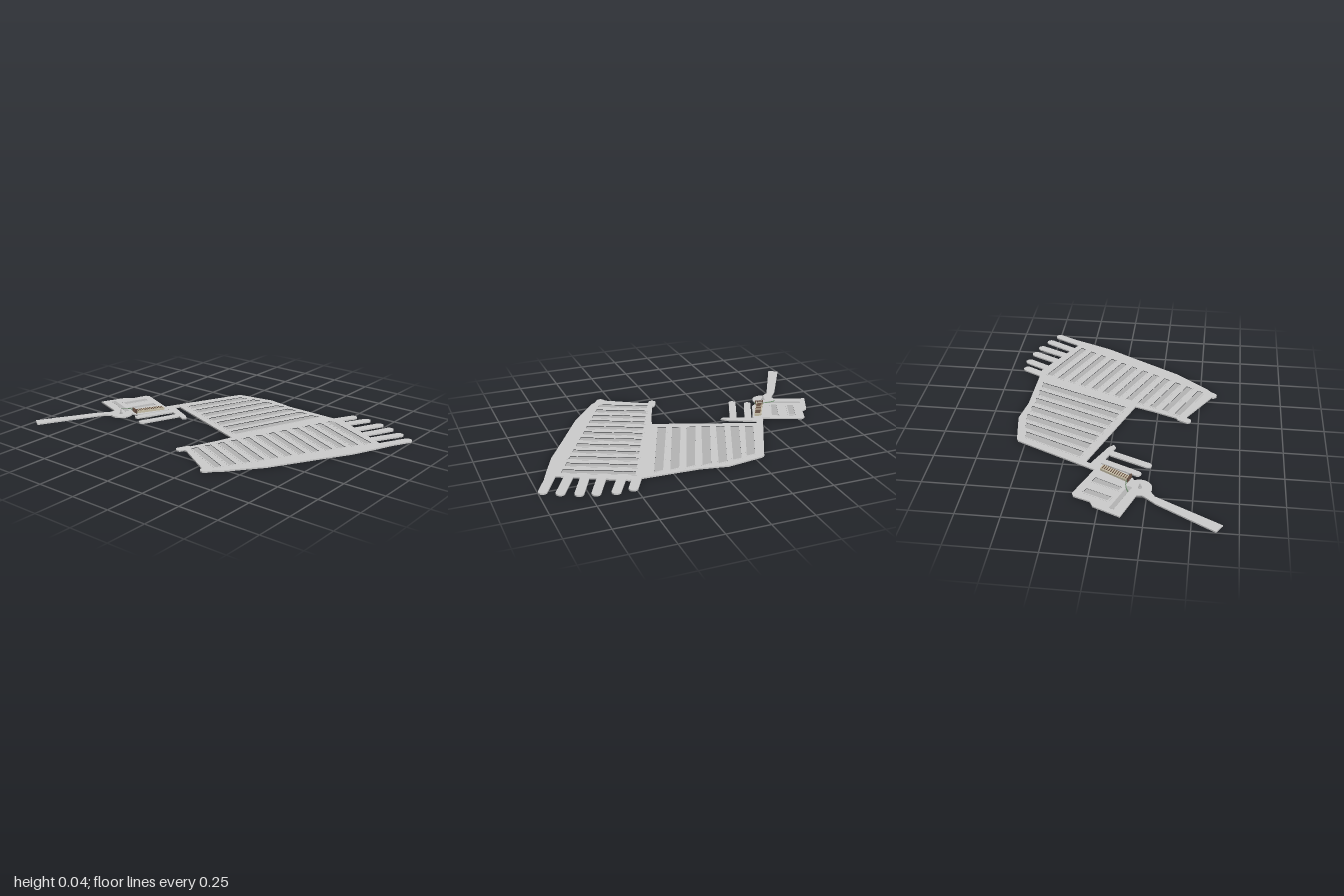
import * as THREE from 'three';

const material = (color) => new THREE.MeshStandardMaterial({ color, flatShading: true });
const GREY = material(0xcccccc), DARK = material(0xb4b4b4), PALE = material(0xdadada);
const BEIGE = material(0xc8c0a8), BROWN = material(0x6b5446), GREEN = material(0x6f8f6f);
const TOP = 0.009; // deck height

const vectors = (points) => points.map(([x, z]) => new THREE.Vector2(x, -z));
const lerp = (a, b, t) => [a[0] + (b[0] - a[0]) * t, a[1] + (b[1] - a[1]) * t];

// Flat slab from a plan outline of [x, z] points
function slab(parent, name, outline, y0, y1, mat, holes = []) {
  const shape = outline instanceof THREE.Shape ? outline : new THREE.Shape(vectors(outline));
  for (const h of holes) shape.holes.push(new THREE.Path(vectors(h)));
  const geo = new THREE.ExtrudeGeometry(shape, { depth: y1 - y0, bevelEnabled: false, curveSegments: 8 });
  geo.rotateX(-Math.PI / 2).translate(0, y0, 0);
  const mesh = new THREE.Mesh(geo, mat);
  mesh.name = name;
  parent.add(mesh);
  return mesh;
}

// Round-ended finger between two plan points
function finger(parent, name, a, b, r) {
  const ang = Math.atan2(-(b[1] - a[1]), b[0] - a[0]);
  const s = new THREE.Shape();
  s.absarc(b[0], -b[1], r, ang - Math.PI / 2, ang + Math.PI / 2);
  s.absarc(a[0], -a[1], r, ang + Math.PI / 2, ang + Math.PI * 1.5);
  return slab(parent, name, s, 0, TOP, GREY);
}

// Shrink a four-sided outline by sliding each corner along its two edges
function inset(quad, w) {
  return quad.map((p, i) => {
    const out = [...p];
    for (const q of [quad[(i + 1) % 4], quad[(i + 3) % 4]]) {
      const d = Math.hypot(q[0] - p[0], q[1] - p[1]);
      out[0] += (q[0] - p[0]) / d * w;
      out[1] += (q[1] - p[1]) / d * w;
    }
    return out;
  });
}

// Sunken bay with a slim raised kerb
function bay(parent, quad) {
  const inner = inset(quad, 0.009);
  slab(parent, 'bayKerb', quad, 0.0005, TOP + 0.001, PALE, [inner]);
  slab(parent, 'bayFloor', inner, 0.002, TOP - 0.002, DARK);
}

function box(parent, name, size, pos, mat, turn = 0) {
  const m = new THREE.Mesh(new THREE.BoxGeometry(...size), mat);
  m.name = name;
  m.position.set(...pos);
  m.rotation.y = turn;
  parent.add(m);
}

export function createModel() {
  const model = new THREE.Group();
  model.name = 'harbourTerminal';

  // Bays of the west yard, fanning slightly towards the back
  const yard = new THREE.Group();
  yard.name = 'mainYard';
  model.add(yard);
  const bays = [];
  const backZ = [-0.515, -0.535, -0.545, -0.535, -0.525, -0.52, -0.515];
  for (let i = 0; i < 7; i++) {
    const xb = -0.275 + 0.094 * i, xf = -0.44 + 0.083 * i, zf = -0.155 + 0.0315 * i;
    bays.push([[xb, backZ[i]], [xb + 0.073, backZ[i] - 0.008], [xf + 0.066, zf + 0.024], [xf, zf]]);
  }
  // Bays of the east yard, stacked along its length
  for (let i = 0; i < 12; i++) {
    const t = i / 11;
    const a = lerp([0.45, -0.515], [0.075, 0.34], t), b = lerp([0.84, -0.335], [0.375, 0.48], t);
    bays.push([a, b, [b[0] - 0.027, b[1] + 0.05], [a[0] - 0.024, a[1] + 0.05]]);
  }
  slab(yard, 'yardDeck', [
    [-0.31, -0.545], [-0.29, -0.555], [-0.07, -0.59], [0.10, -0.56], [0.44, -0.55], [0.505, -0.55],
    [0.87, -0.355], [0.945, -0.40], [0.90, -0.29], [0.83, -0.13], [0.725, 0.045], [0.555, 0.335],
    [0.465, 0.445], [0.39, 0.54], [0.325, 0.59], [0.06, 0.43], [0.01, 0.43],
    [0.10, 0.21], [0.135, 0.105], [-0.47, -0.12], [-0.50, -0.06], [-0.54, -0.065],
  ], 0, TOP, GREY, bays);
  for (const q of bays) bay(yard, q);

  // Back piers and the two front corner stubs
  const piers = [
    [[0.45, -0.525], [0.515, -0.645]], [[0.545, -0.527], [0.611, -0.648]],
    [[0.64, -0.475], [0.715, -0.625]], [[0.72, -0.43], [0.80, -0.597]],
    [[0.80, -0.39], [0.89, -0.553]], [[0.875, -0.32], [0.973, -0.503]],
  ];
  for (const [a, b] of piers) finger(yard, 'pier', a, b, 0.026);
  finger(yard, 'cornerStub', [0.035, 0.39], [0.014, 0.433], 0.023);
  finger(yard, 'cornerStub', [0.345, 0.54], [0.318, 0.578], 0.026);

  // Small island with its own bays
  const island = new THREE.Group();
  island.name = 'smallIsland';
  model.add(island);
  const smallBays = [
    [[-0.755, -0.11], [-0.705, -0.085], [-0.77, 0.075], [-0.82, 0.05]],
    [[-0.655, -0.075], [-0.60, -0.05], [-0.68, 0.12], [-0.725, 0.10]],
  ];
  slab(island, 'islandDeck', [
    [-0.765, -0.155], [-0.79, -0.145], [-0.825, -0.05], [-0.865, -0.03], [-0.935, 0.125],
    [-0.73, 0.20], [-0.60, 0.165], [-0.56, 0.13], [-0.485, -0.03], [-0.525, -0.055],
  ], 0, TOP, GREY, smallBays);
  for (const q of smallBays) bay(island, q);
  slab(island, 'quayStrip', [[-0.87, 0.06], [-0.67, 0.14], [-0.68, 0.165], [-0.88, 0.085]],
    TOP - 0.001, TOP + 0.001, DARK);

  // Round head and long breakwater
  const head = new THREE.Mesh(new THREE.CylinderGeometry(0.07, 0.07, TOP, 32), GREY);
  head.name = 'roundHead';
  head.position.set(-0.675, TOP / 2, 0.205);
  island.add(head);
  slab(island, 'breakwater', [[-0.72, 0.19], [-0.755, 0.24], [-0.805, 0.30], [-1, 0.63],
    [-0.945, 0.665], [-0.745, 0.295], [-0.69, 0.26]], 0, TOP, GREY);

  // Jetty bar and its fingers
  slab(island, 'jettyBar', [[-0.53, -0.09], [-0.48, -0.09], [-0.32, -0.01], [-0.29, 0.02],
    [-0.315, 0.035], [-0.35, 0.02], [-0.54, -0.055]], 0, TOP, GREY);
  finger(island, 'jettyFinger', [-0.455, -0.025], [-0.55, 0.183], 0.021);
  finger(island, 'jettyFinger', [-0.375, 0.02], [-0.466, 0.234], 0.022);

  // Long hall with ribs on its roof
  const hall = new THREE.Group();
  hall.name = 'terminalHall';
  model.add(hall);
  slab(hall, 'hallBody', [[-0.545, -0.03], [-0.505, -0.015], [-0.595, 0.145], [-0.635, 0.13]],
    TOP, 0.023, BEIGE);
  for (let i = 0; i < 12; i++) {
    const [x, z] = lerp([-0.529, -0.012], [-0.607, 0.125], i / 11);
    box(hall, 'roofRib', [0.034, 0.003, 0.005], [x, 0.024, z], BROWN, -0.36);
  }
  // Towers at the hall's front end
  for (let i = 0; i < 4; i++)
    box(hall, 'tower', [0.007, 0.026, 0.008], [-0.635 + 0.014 * i, 0.022, 0.136 + 0.005 * i], BROWN, -0.36);
  box(hall, 'towerBeam', [0.05, 0.004, 0.006], [-0.614, 0.032, 0.1435], BROWN, -0.36);

  // Curved gangway
  const path = new THREE.CatmullRomCurve3([[-0.73, 0.014, 0.148], [-0.69, 0.018, 0.132],
    [-0.64, 0.02, 0.13], [-0.585, 0.018, 0.152]].map((p) => new THREE.Vector3(...p)));
  const gangway = new THREE.Mesh(new THREE.TubeGeometry(path, 20, 0.003, 6), GREEN);
  gangway.name = 'gangway';
  model.add(gangway);

  // Beacon on the round head
  for (const [name, r, h] of [['beaconBase', 0.012, 0.004], ['beaconMast', 0.003, 0.026]]) {
    const m = new THREE.Mesh(new THREE.CylinderGeometry(r, r, h, 12), DARK);
    m.name = name;
    m.position.set(-0.675, TOP + h / 2, 0.208);
    model.add(m);
  }
  return model;
}
